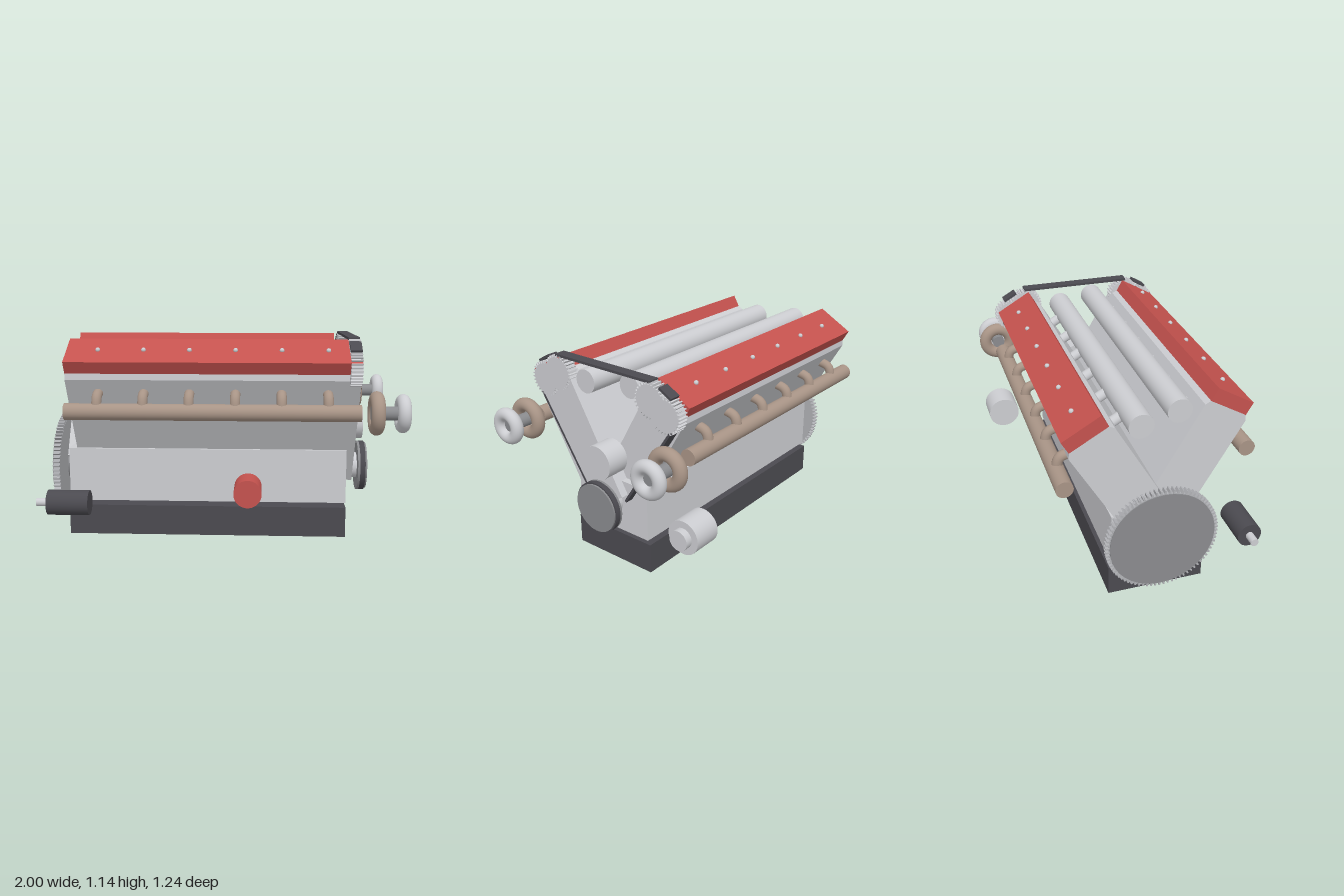
import * as THREE from 'three';

const CZ = 0.0045, CRANK_Y = 0.365, LEAN = Math.PI / 6, BANK_LEN = 1.585;
const STATIONS = [-2.5, -1.5, -0.5, 0.5, 1.5, 2.5].map((i) => i * 0.248);

function makeMaterial(name, color, double) {
  const m = new THREE.MeshStandardMaterial({ color });
  m.name = name;
  if (double) m.side = THREE.DoubleSide;
  return m;
}

export function createModel() {
  const light = makeMaterial('light metal', 0xcccdd1);
  const mid = makeMaterial('grey metal', 0x8a8b8e);
  const ringGrey = makeMaterial('flywheel grey', 0xb0b1b5);
  const dark = makeMaterial('dark metal', 0x4b4a50);
  const red = makeMaterial('red paint', 0xc4524e);
  const brown = makeMaterial('exhaust brown', 0xa89486);

  const root = new THREE.Group();
  root.name = 'engine';

  const add = (parent, name, geometry, material, x = 0, y = 0, z = 0) => {
    const mesh = new THREE.Mesh(geometry, material);
    mesh.name = name;
    mesh.position.set(x, y, z);
    parent.add(mesh);
    return mesh;
  };
  const box = (parent, name, mat, x0, x1, y0, y1, z0, z1) =>
    add(parent, name, new THREE.BoxGeometry(x1 - x0, y1 - y0, z1 - z0), mat,
      (x0 + x1) / 2, (y0 + y1) / 2, (z0 + z1) / 2);
  // Cylinder along x between x0 and x1
  const rod = (parent, name, mat, x0, x1, r, y, z) =>
    add(parent, name, new THREE.CylinderGeometry(r, r, x1 - x0, 40).rotateZ(Math.PI / 2), mat,
      (x0 + x1) / 2, y, z);
  // Profile drawn in (z, y), extruded along x and centred on x
  const extrudeX = (points, length) =>
    new THREE.ExtrudeGeometry(new THREE.Shape(points.map((p) => new THREE.Vector2(p[0], p[1]))),
      { depth: length, bevelEnabled: false })
      .translate(0, 0, -length / 2).rotateY(-Math.PI / 2);
  const gear = (teeth, rootR, tipR, width) => {
    const points = [];
    for (let i = 0; i < teeth; i++) {
      [[0, rootR], [0.45, rootR], [0.58, tipR], [0.87, tipR]].forEach(([f, r]) => {
        const a = ((i + f) / teeth) * Math.PI * 2;
        points.push([Math.cos(a) * r, Math.sin(a) * r]);
      });
    }
    return extrudeX(points, width);
  };

  // Sump and crankcase
  box(root, 'oilPan', dark, -0.88, 0.705, 0, 0.172, -0.26, 0.27);
  box(root, 'crankcase', light, -0.878, 0.705, 0.195, 0.5, -0.245, 0.25);
  box(root, 'oilPickup', light, 0.56, 0.665, 0.15, 0.2, -0.06, 0.066);

  // One cylinder bank, built upright around the crank and then leaned outwards
  const buildBank = (name) => {
    const bank = new THREE.Group();
    bank.name = name;
    const lean = new THREE.Group();
    lean.name = name + 'Assembly';
    lean.rotation.x = LEAN;
    bank.add(lean);
    const half = BANK_LEN / 2;
    box(lean, 'cylinderBlock', light, -half, half, 0, 0.54, -0.131, 0.131);
    add(lean, 'cylinderHead', extrudeX([[-0.131, 0.54], [0.131, 0.54], [0.131, 0.715],
      [0.113, 0.743], [-0.113, 0.743], [-0.131, 0.715]], BANK_LEN), light);
    box(lean, 'valveCover', red, -half, half, 0.743, 0.8175, -0.113, 0.113);
    rod(lean, 'intakePipe', light, -half, half, 0.065, 0.637, -0.236);
    rod(lean, 'exhaustPipe', brown, -half, half, 0.045, 0.581, 0.236);
    const elbow = new THREE.CatmullRomCurve3([[0.6175, 0.1], [0.636, 0.181], [0.59, 0.231]]
      .map(([s, t]) => new THREE.Vector3(0, s, t)));
    const elbowGeo = new THREE.TubeGeometry(elbow, 12, 0.027, 16);
    const runnerGeo = new THREE.CylinderGeometry(0.028, 0.028, 0.14, 20).rotateX(Math.PI / 2);
    const boltGeo = new THREE.SphereGeometry(0.013, 12, 8);
    for (const x of STATIONS) {
      add(lean, 'coverBolt', boltGeo, light, x, 0.82, 0);
      add(lean, 'intakeRunner', runnerGeo, light, x, 0.637, -0.17);
      add(lean, 'exhaustRunner', elbowGeo, brown, x, 0, 0);
    }
    root.add(bank);
    return bank;
  };
  buildBank('frontBank').position.set(-0.0425, CRANK_Y, CZ);
  const rear = buildBank('rearBank');
  rear.position.set(-0.1265, CRANK_Y, CZ);
  rear.rotation.y = Math.PI;

  // Flat belt run between two (z, y) points
  const beltRun = (z0, y0, z1, y1) => {
    const run = add(root, 'timingBelt',
      new THREE.BoxGeometry(0.062, 0.014, Math.hypot(z1 - z0, y1 - y0)), dark,
      0.72, (y0 + y1) / 2, CZ + (z0 + z1) / 2);
    run.rotation.x = -Math.atan2(y1 - y0, z1 - z0);
  };
  beltRun(-0.33, 1.134, 0.33, 1.134);

  // Cam gears, belt runs and turbos on both sides
  const camGear = gear(30, 0.085, 0.098, 0.062);
  const shell = new THREE.TorusGeometry(0.08, 0.037, 24, 48).rotateY(Math.PI / 2);
  const compressor = new THREE.TorusGeometry(0.068, 0.035, 24, 48).rotateY(Math.PI / 2);
  for (const side of [1, -1]) {
    for (const t of [-0.055, 0.055]) {
      const s = 0.742;
      add(root, 'camGear', camGear, light, 0.721,
        CRANK_Y + s * Math.cos(LEAN) - t * Math.sin(LEAN),
        CZ + side * (s * Math.sin(LEAN) + t * Math.cos(LEAN)));
    }
    beltRun(side * 0.46, 1.075, side * 0.385, 1.118);
    beltRun(side * 0.476, 0.937, side * 0.139, 0.417);
    const z = CZ + side * 0.499;
    add(root, 'turbineHousing', shell, brown, 0.828, 0.753, z);
    add(root, 'compressorHousing', compressor, light, 0.965, 0.753, z);
    rod(root, 'turboShaft', mid, 0.8, 0.965, 0.037, 0.753, z);
  }

  // Idler and crank pulley
  rod(root, 'idlerPulley', light, 0.68, 0.812, 0.095, 0.624, CZ);
  rod(root, 'crankHub', light, 0.7, 0.79, 0.075, CRANK_Y, CZ);
  rod(root, 'pulleyBack', mid, 0.785, 0.798, 0.145, CRANK_Y, CZ);
  rod(root, 'pulleyRim', dark, 0.798, 0.828, 0.145, CRANK_Y, CZ);
  rod(root, 'pulleyFace', mid, 0.828, 0.838, 0.137, CRANK_Y, CZ);

  // Flywheel
  add(root, 'flywheelRing', gear(80, 0.287, 0.305, 0.038), ringGrey, -0.944, CRANK_Y, CZ);
  rod(root, 'flywheelPlate', mid, -0.967, -0.96, 0.284, CRANK_Y, CZ);
  rod(root, 'flywheelHub', mid, -0.93, -0.87, 0.1, CRANK_Y, CZ);

  // Starter, oil filter and alternator
  rod(root, 'starterMotor', dark, -0.935, -0.708, 0.068, 0.251, 0.516);
  rod(root, 'starterShaft', light, -1, -0.935, 0.022, 0.251, 0.516);
  add(root, 'oilFilter', new THREE.CylinderGeometry(0.075, 0.075, 0.174, 40).rotateX(Math.PI / 2),
    red, 0.152, 0.327, 0.506);
  rod(root, 'alternator', light, 0.585, 0.75, 0.095, 0.344, -0.524);
  rod(root, 'alternatorPulley', light, 0.75, 0.79, 0.056, 0.344, -0.524);

  return root;
}
